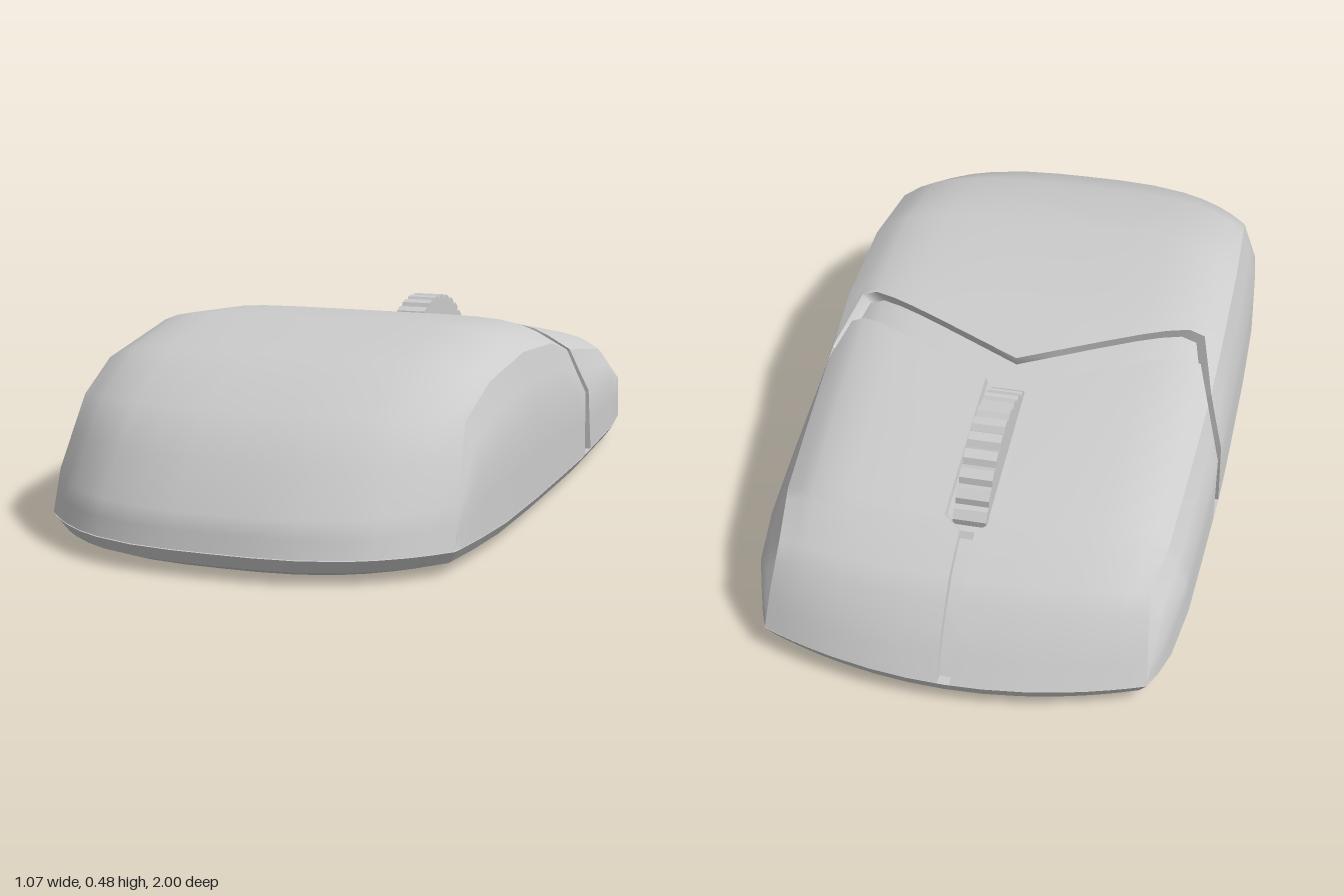
import * as THREE from 'three';

const mat = new THREE.MeshStandardMaterial({ color: 0xcccccc, side: THREE.DoubleSide });
const lerp = THREE.MathUtils.lerp;

// Stations from back (+z) to nose: centre z, centre y, crease x, y, z, outer half width
const ST = [
  [1, .06, .495, .06, .80, .495],
  [.975, .14, .49, .16, .77, .5],
  [.81, .335, .475, .32, .67, .515],
  [.6, .43, .485, .385, .52, .53],
  [.32, .48, .495, .415, .27, .535],
  [0, .455, .495, .395, 0, .535],
  [-.2, .412, .49, .35, -.18, .534],
  [-.7, .325, .465, .28, -.64, .515],
  [-.85, .25, .44, .24, -.8, .495],
  [-.93, .165, .448, .15, -.865, .475],
  [-1, .06, .455, .06, -.91, .455],
];
const LAST = ST.length - 1;
const TOP = [0, .2, .4, .6, .72, .83, .91, 1];
const SIDE = [1, 1.2, 1.4, 1.7, 2];

// Skin point: t = station, |s| 0..1 spans centre to crease, 1..2 crease to hem
function skin(t, s, gap = 0) {
  const i = Math.min(Math.floor(t), LAST - 1);
  const [cz, cy, kx, ky, kz, w] = ST[i].map((v, j) => lerp(v, ST[i + 1][j], t - i));
  const a = Math.abs(s), sign = s < 0 ? -1 : 1;
  if (a <= 1) {
    return new THREE.Vector3(sign * lerp(gap, kx, a), lerp(cy, ky, a ** 7), lerp(cz, kz, a ** (t < 5 ? 3 : 2)));
  }
  const my = lerp(.06, ky, .6);
  return a < 1.4
    ? new THREE.Vector3(sign * lerp(kx, w - .003, (a - 1) / .4), lerp(ky, my, (a - 1) / .4), kz)
    : new THREE.Vector3(sign * lerp(w - .003, w, (a - 1.4) / .6), lerp(my, .06, (a - 1.4) / .6), kz);
}

const inset = p => new THREE.Vector3(p.x * .955, .05 + (p.y - .05) * .935, p.z * .975);

// Station at which the skin column s reaches the given z
function stationAt(z, s) {
  let lo = 0, hi = LAST;
  for (let i = 0; i < 30; i++) {
    const m = (lo + hi) / 2;
    if (skin(m, s).z > z) lo = m; else hi = m;
  }
  return lo;
}

// Piecewise-linear lookup
function lookup(table, s) {
  const a = Math.abs(s);
  let i = 0;
  while (i < table.length - 2 && a > table[i + 1][0]) i++;
  const [p, q] = [table[i], table[i + 1]];
  return lerp(p[1], q[1], (a - p[0]) / (q[0] - p[0]));
}

// Smooth surface through rows of points
function surface(name, rows) {
  const n = rows[0].length, idx = [];
  for (let r = 0; r < rows.length - 1; r++) {
    for (let c = 0; c < n - 1; c++) {
      const a = r * n + c;
      idx.push(a, a + 1, a + n, a + 1, a + n + 1, a + n);
    }
  }
  const g = new THREE.BufferGeometry().setFromPoints(rows.flat());
  g.setIndex(idx);
  g.computeVertexNormals();
  const mesh = new THREE.Mesh(g, mat);
  mesh.name = name;
  return mesh;
}

const skirt = (name, line) => surface(name, [line, line.map(inset)]);
const mirrored = list => [...list.slice(1).reverse().map(v => -v), ...list];

// V-shaped groove: z of the rear shell edge and of the button edge along s
const REAR_EDGE = [[0, -.21], [.83, -.03], [.91, -.03], [1, -.18], [1.4, -.235], [2, -.235]];
const FRONT_EDGE = [[0, -.285], [.83, -.12], [.91, -.12], [1, -.22], [1.4, -.28], [2, -.31]];

function rearShell() {
  const group = new THREE.Group();
  group.name = 'palmShell';
  const column = s => {
    const e = stationAt(lookup(REAR_EDGE, s), s);
    return [e, (e + 5) / 2, 5, 4, 3, 2, 1.5, 1, .5, 0].map(t => skin(t, s));
  };
  const add = (name, list) => {
    const cols = list.map(column);
    group.add(surface(name, cols), skirt(name + 'Rim', cols.map(c => c[0])));
  };
  add('palmTop', mirrored(TOP));
  for (const sign of [-1, 1]) add('palmSide', SIDE.map(s => s * sign));
  return group;
}

function button(sign) {
  const group = new THREE.Group();
  group.name = sign > 0 ? 'leftButton' : 'rightButton';
  // The gap is wide beside the wheel and narrow towards the nose
  const column = s => {
    const e = stationAt(lookup(FRONT_EDGE, s), s);
    const rows = [[e, .06], [(e + 7) / 2, .06], [7.1, .06], [7.3, .018], [8, .018], [8.5, .018], [9, .018], [9.5, .018], [10, .015]];
    return rows.map(([t, gap]) => skin(t, s * sign || sign * 1e-6, gap));
  };
  const add = (name, list) => {
    const cols = list.map(column);
    group.add(surface(name, cols), skirt(name + 'Rim', cols.map(c => c[0])));
    return cols;
  };
  const top = add('buttonTop', TOP);
  add('buttonSide', SIDE);
  group.add(skirt('buttonInnerRim', top[0]));
  return group;
}

// Recessed body seen inside the grooves
function innerBody() {
  const group = new THREE.Group();
  group.name = 'innerBody';
  const column = s => ST.map((_, t) => inset(skin(t, s)));
  group.add(surface('innerTop', mirrored(TOP).map(column)));
  for (const sign of [-1, 1]) group.add(surface('innerSide', SIDE.map(s => column(s * sign))));
  return group;
}

// Base tray: the plan outline stepped inwards to a flat sole
function base() {
  const group = new THREE.Group();
  group.name = 'base';
  const across = mirrored(TOP), along = ST.map((_, i) => i);
  const outline = [
    ...across.map(s => skin(0, s)),
    ...along.slice(1).map(t => skin(t, 2)),
    ...across.slice(0, -1).reverse().map(s => skin(LAST, s)),
    ...along.slice(0, -1).reverse().map(t => skin(t, -2)),
  ];
  const ring = (y, sx, sz) => outline.map(p => new THREE.Vector3(p.x * sx, y, p.z * sz));
  const rings = [ring(.058, 1, 1), ring(.028, .96, .985), ring(.01, .88, .94), ring(.003, .8, .9)];
  for (let i = 0; i < 3; i++) group.add(surface('baseRim', [rings[i], rings[i + 1]]));
  const cap = (name, r, y) => group.add(surface(name, [r, r.map(() => new THREE.Vector3(0, y, 0))]));
  cap('baseFloor', rings[0], .058);
  cap('sole', rings[3], 0);
  return group;
}

// Ribbed scroll wheel: the exposed segment of a large toothed disc
function scrollWheel() {
  const R = .31, teeth = 14, a0 = .45, a1 = Math.PI - .45;
  const shape = new THREE.Shape();
  shape.moveTo(R * Math.cos(a0), .05);
  for (let i = 0; i < teeth; i++) {
    for (const [f, r] of [[0, R - .012], [.25, R], [.75, R]]) {
      const a = lerp(a0, a1, (i + f) / teeth);
      shape.lineTo(r * Math.cos(a), r * Math.sin(a));
    }
  }
  shape.lineTo(R * Math.cos(a1), .05);
  const g = new THREE.ExtrudeGeometry(shape, { depth: .08, bevelEnabled: false });
  g.translate(0, 0, -.04).rotateY(Math.PI / 2);
  const wheel = new THREE.Mesh(g, mat);
  wheel.name = 'scrollWheel';
  wheel.position.set(0, .125, -.475);
  return wheel;
}

export function createModel() {
  const model = new THREE.Group();
  model.name = 'computerMouse';
  model.add(base(), innerBody(), rearShell(), button(1), button(-1), scrollWheel());
  return model;
}
